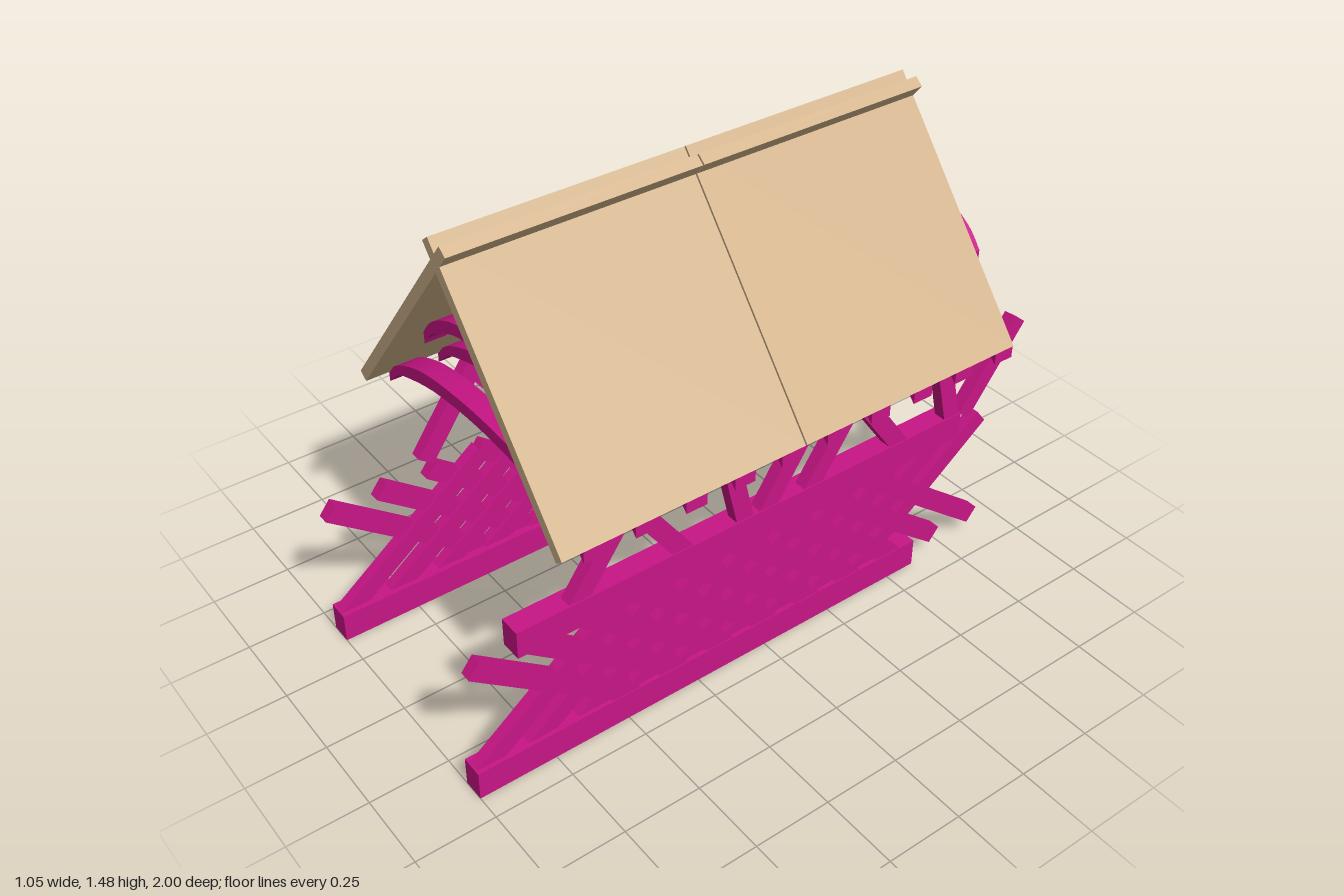
import * as THREE from 'three';
import { toCreasedNormals } from 'three/addons/utils/BufferGeometryUtils.js';

const wood = new THREE.MeshStandardMaterial({ color: 0xc71585 });
const boards = new THREE.MeshStandardMaterial({ color: 0xd2b48c });

function add(parent, name, geometry, material = wood) {
  const mesh = new THREE.Mesh(geometry, material);
  mesh.name = name;
  parent.add(mesh);
  return mesh;
}

// Straight beam lying along z, given by its y and z limits
function beam(parent, name, x, y0, y1, z0, z1) {
  add(parent, name, new THREE.BoxGeometry(0.07, y1 - y0, z1 - z0))
    .position.set(x, (y0 + y1) / 2, (z0 + z1) / 2);
}

// Sloping bar between two [z, y] points
function bar(parent, name, x, [za, ya], [zb, yb], thick = 0.038, width = 0.058) {
  const dz = zb - za, dy = yb - ya;
  const mesh = add(parent, name, new THREE.BoxGeometry(thick, width, Math.hypot(dz, dy)));
  mesh.position.set(x, (ya + yb) / 2, (za + zb) / 2);
  mesh.rotation.x = -Math.atan2(dy, dz);
}

// Curved rib: half profiles run from the centre out to the tip
function ribGeometry(outer, inner, depth) {
  const curve = half => {
    const left = half.slice(1).reverse().map(([x, y]) => new THREE.Vector2(-x, y));
    const right = half.map(([x, y]) => new THREE.Vector2(x, y));
    return new THREE.SplineCurve([...left, ...right]).getPoints(32);
  };
  const shape = new THREE.Shape([...curve(inner), ...curve(outer).reverse()]);
  const geometry = new THREE.ExtrudeGeometry(shape, { depth, bevelEnabled: false });
  geometry.translate(0, 0, -depth / 2);
  return toCreasedNormals(geometry, 0.5);
}

export function createModel() {
  const model = new THREE.Group();
  model.name = 'coveredBridge';

  for (const side of [1, -1]) {
    const wall = new THREE.Group();
    wall.name = side > 0 ? 'leftWall' : 'rightWall';
    model.add(wall);

    // Bottom sill, and the top rail fitted on one side only
    beam(wall, 'sill', side * 0.385, 0, 0.095, -0.605, 1);
    if (side > 0) beam(wall, 'topRail', side * 0.385, 0.44, 0.53, -0.755, 0.85);

    // Crossed lattice in two layers
    for (let i = 0; i < 9; i++) {
      const s = i * 0.167;
      bar(wall, 'outerLatticeBar', side * 0.397, [0.98 - s, 0.467], [0.47 - s, 0.07]);
      bar(wall, 'innerLatticeBar', side * 0.387, [0.98 - s, 0.07], [0.47 - s, 0.462]);
    }

    // Braces from the wall up to the ribs: [foot z, head z]
    const braces = [[0.66, 0.465], [0.29, 0.485], [0.08, 0.145], [0.01, -0.17],
      [-0.155, -0.34], [-0.515, -0.32], [-0.725, -0.66], [-0.775, -0.975]];
    for (const [foot, head] of braces) {
      bar(wall, 'brace', side * 0.395, [foot, 0.51], [head, 0.785], 0.04);
    }

    // Two roof panels per slope, crossing at the ridge
    for (const z of [0.365, -0.437]) {
      const a = new THREE.Vector2(0.509, 0.79), b = new THREE.Vector2(-0.042, 1.47);
      const panel = add(model, 'roofPanel',
        new THREE.BoxGeometry(a.distanceTo(b), 0.035, 0.797), boards);
      panel.position.set(side * (a.x + b.x) / 2, (a.y + b.y) / 2, z);
      panel.rotation.z = side * Math.atan2(b.y - a.y, b.x - a.x);
    }
  }

  // Curved ribs carrying the roof
  const lowerRib = ribGeometry(
    [[0, 0.917], [0.25, 0.899], [0.41, 0.848], [0.502, 0.785]],
    [[0, 0.876], [0.23, 0.859], [0.41, 0.811], [0.46, 0.782], [0.502, 0.742]], 0.07);
  const upperRib = ribGeometry(
    [[0, 1.145], [0.14, 1.127], [0.25, 1.072], [0.306, 1.01]],
    [[0, 1.105], [0.13, 1.09], [0.24, 1.038], [0.285, 1.003], [0.306, 0.97]], 0.07);
  for (let i = 0; i < 10; i++) {
    const z = 0.65 - i * 0.1635;
    add(model, 'lowerRib', lowerRib).position.z = z;
    add(model, 'upperRib', upperRib).position.z = z - 0.025;
  }

  return model;
}
